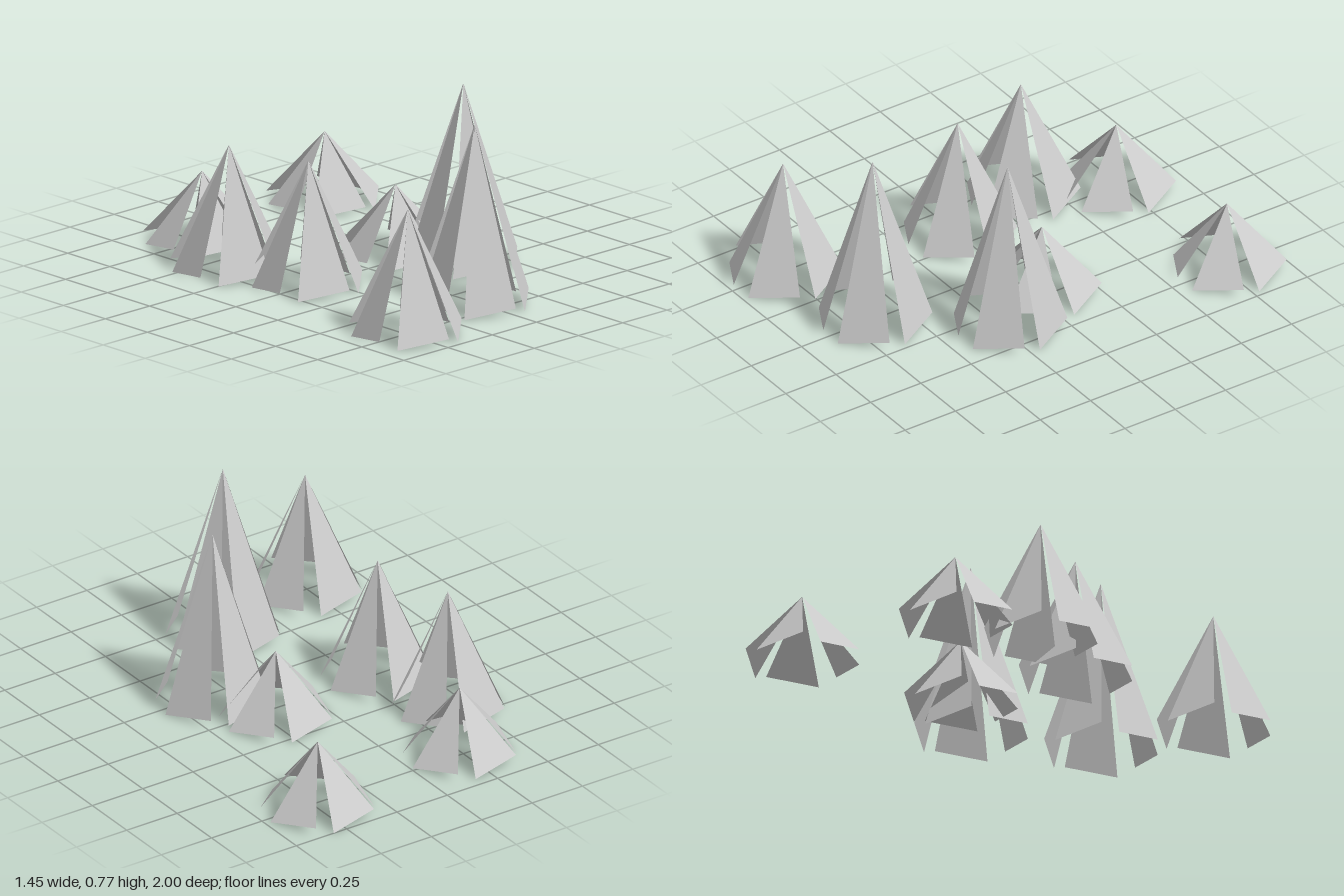
import * as THREE from 'three';

const leafMaterial = new THREE.MeshStandardMaterial({ color: 0xcccccc, side: THREE.DoubleSide, flatShading: true });
leafMaterial.name = 'pale grey';

// One tuft: five flat triangular blades hanging from a shared tip
function tuftGeometry(height) {
  const points = [];
  const rim = (degrees, radius, y) => {
    const a = THREE.MathUtils.degToRad(degrees);
    return [Math.cos(a) * radius, y, Math.sin(a) * radius];
  };
  for (let i = 0; i < 5; i++) {
    const raised = rim(18 + 72 * i, 0.245, 0.034);
    const grounded = rim(72 + 72 * i, 0.234, 0);
    points.push(0, height, 0, ...grounded, ...raised);
  }
  const geometry = new THREE.BufferGeometry();
  geometry.setAttribute('position', new THREE.Float32BufferAttribute(points, 3));
  geometry.computeVertexNormals();
  return geometry;
}

export function createModel() {
  const model = new THREE.Group();
  model.name = 'grassPatch';

  const sizes = {
    tall: tuftGeometry(0.772),
    medium: tuftGeometry(0.538),
    short: tuftGeometry(0.305),
  };

  // Scattered tufts: size, x, z
  const tufts = [
    ['medium', -0.493, 0.753],
    ['tall', -0.008, 0.641],
    ['tall', 0.339, 0.208],
    ['short', 0.205, -0.055],
    ['medium', -0.334, -0.006],
    ['medium', -0.425, -0.383],
    ['short', -0.244, -0.733],
    ['short', 0.492, -0.778],
  ];
  tufts.forEach(([size, x, z], i) => {
    const tuft = new THREE.Mesh(sizes[size], leafMaterial);
    tuft.name = `${size}Tuft${i + 1}`;
    tuft.position.set(x, 0, z);
    model.add(tuft);
  });
  return model;
}
